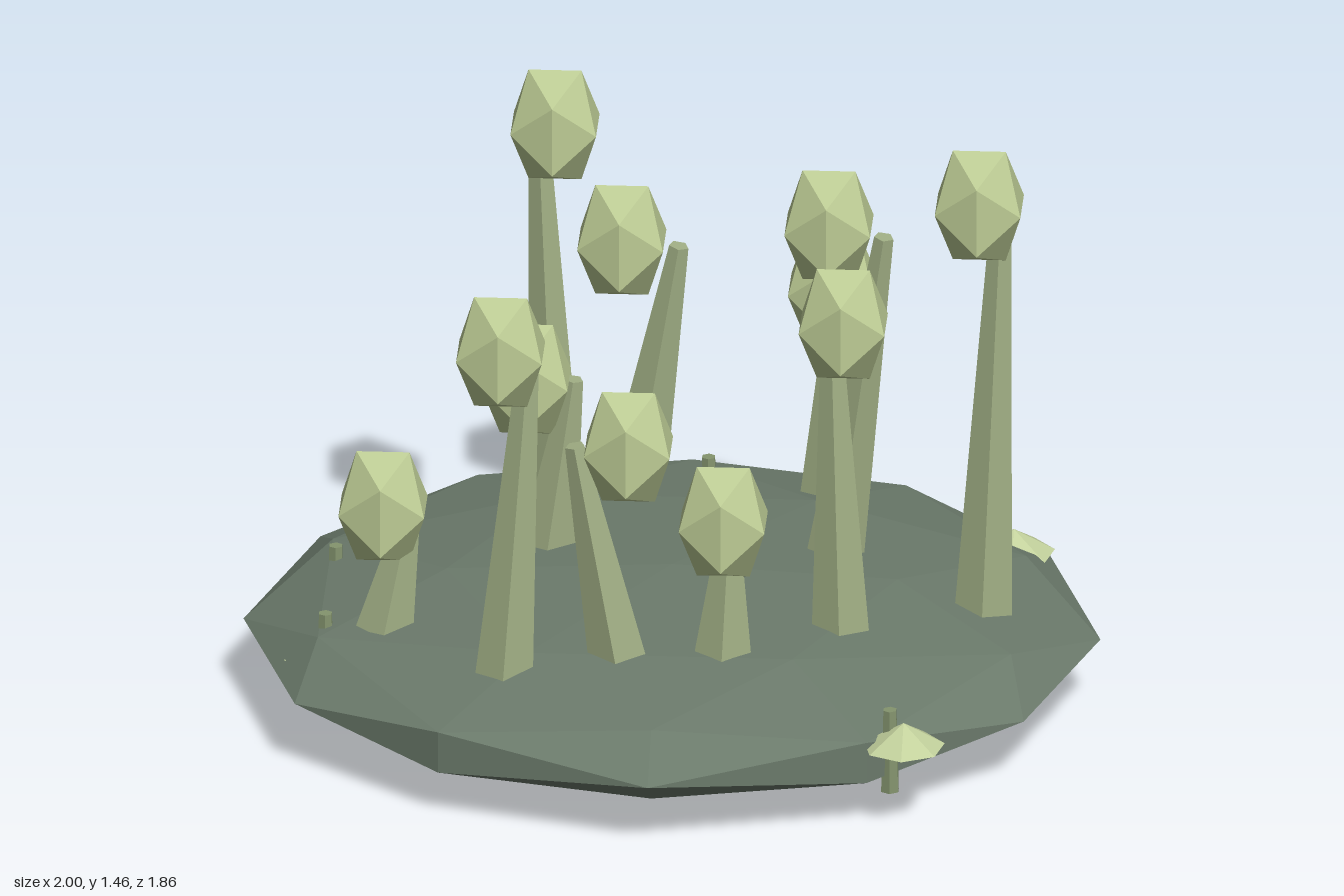
import * as THREE from 'three';

const mat = (name, color) => {
  const m = new THREE.MeshStandardMaterial({ color, flatShading: true });
  m.name = name;
  return m;
};

export function createModel() {
  const root = new THREE.Group();
  root.name = 'floatingGrove';
  const mossStone = mat('mossStone', 0x6b7a6b);
  const bark = mat('paleBark', 0xa0ae84);
  const leaf = mat('paleLeaf', 0xbccb94);
  const capGreen = mat('capGreen', 0xc2d09c);
  const stemGreen = mat('stemGreen', 0x84946e);

  const add = (name, geometry, material, x, y, z, parent = root) => {
    const mesh = new THREE.Mesh(geometry, material);
    mesh.name = name;
    mesh.position.set(x, y, z);
    parent.add(mesh);
    return mesh;
  };

  // Squashed faceted island
  add('island', new THREE.IcosahedronGeometry(1, 1).scale(1, 0.165, 0.93), mossStone, 0, 0.165, 0);

  // Trees: crown centre, trunk foot, and trunk tip in x and z (the tip is level with the crown centre)
  const trees = [
    [[-0.29, 1.32, -0.275], [-0.285, 0.29, -0.285], [-0.33, -0.305]],
    [[-0.37, 1.072, 0.49], [-0.36, 0.26, 0.5], [-0.305, 0.45]],
    [[0.72, 1.28, 0.045], [0.73, 0.245, 0.045], [0.77, 0.005]],
    [[0.355, 1.12, -0.185], [0.37, 0.285, -0.178], [0.487, -0.125]],
    [[0.415, 1.06, 0.25], [0.41, 0.275, 0.25], [0.385, 0.215]],
    [[-0.075, 0.815, 0.435], [-0.1, 0.285, 0.435], [-0.2, 0.435]],
    [[-0.165, 0.81, -0.78], [-0.125, 0.235, -0.78], [-0.03, -0.755]],
    [[0.34, 0.8, -0.565], [0.33, 0.25, -0.568], [0.355, -0.585]],
    [[-0.66, 0.563, 0.237], [-0.655, 0.255, 0.24], [-0.595, 0.23]],
    [[0.145, 0.622, 0.415], [0.145, 0.285, 0.415], [0.16, 0.41]],
    [[-0.35, 0.72, -0.165], [-0.3, 0.29, -0.17], [-0.24, -0.17]],
  ];
  const crown = new THREE.IcosahedronGeometry(1, 0).scale(0.1175, 0.162, 0.13);
  const up = new THREE.Vector3(0, 1, 0);
  for (const [c, f, t] of trees) {
    const tree = new THREE.Group();
    tree.name = 'tree';
    root.add(tree);
    add('crown', crown, leaf, ...c, tree);
    const foot = new THREE.Vector3(...f);
    const axis = new THREE.Vector3(t[0], c[1], t[1]).sub(foot);
    const mid = foot.clone().addScaledVector(axis, 0.5);
    const trunk = add('trunk', new THREE.CylinderGeometry(0.024, 0.071, axis.length(), 5), bark, mid.x, mid.y, mid.z, tree);
    trunk.quaternion.setFromUnitVectors(up, axis.normalize());
  }

  // Mushrooms: stem position, cap offset
  const mushrooms = [
    [0.552, 0.707, 0.033, 0.018],
    [0.722, -0.385, 0.05, -0.035],
    [-0.795, 0.225, -0.015, 0.005],
    [-0.795, -0.17, 0.02, 0],
    [0.04, -0.74, 0, 0.02],
  ];
  const stem = new THREE.CylinderGeometry(0.017, 0.023, 0.205, 6);
  const cap = new THREE.ConeGeometry(0.097, 0.058, 7);
  mushrooms.forEach(([x, z, dx, dz], i) => {
    const mushroom = new THREE.Group();
    mushroom.name = 'mushroom';
    root.add(mushroom);
    add('mushroomStem', stem, stemGreen, x, 0.18, z, mushroom);
    add('mushroomCap', cap, capGreen, x + dx, i < 2 ? 0.228 : 0.215, z + dz, mushroom);
  });

  return root;
}
